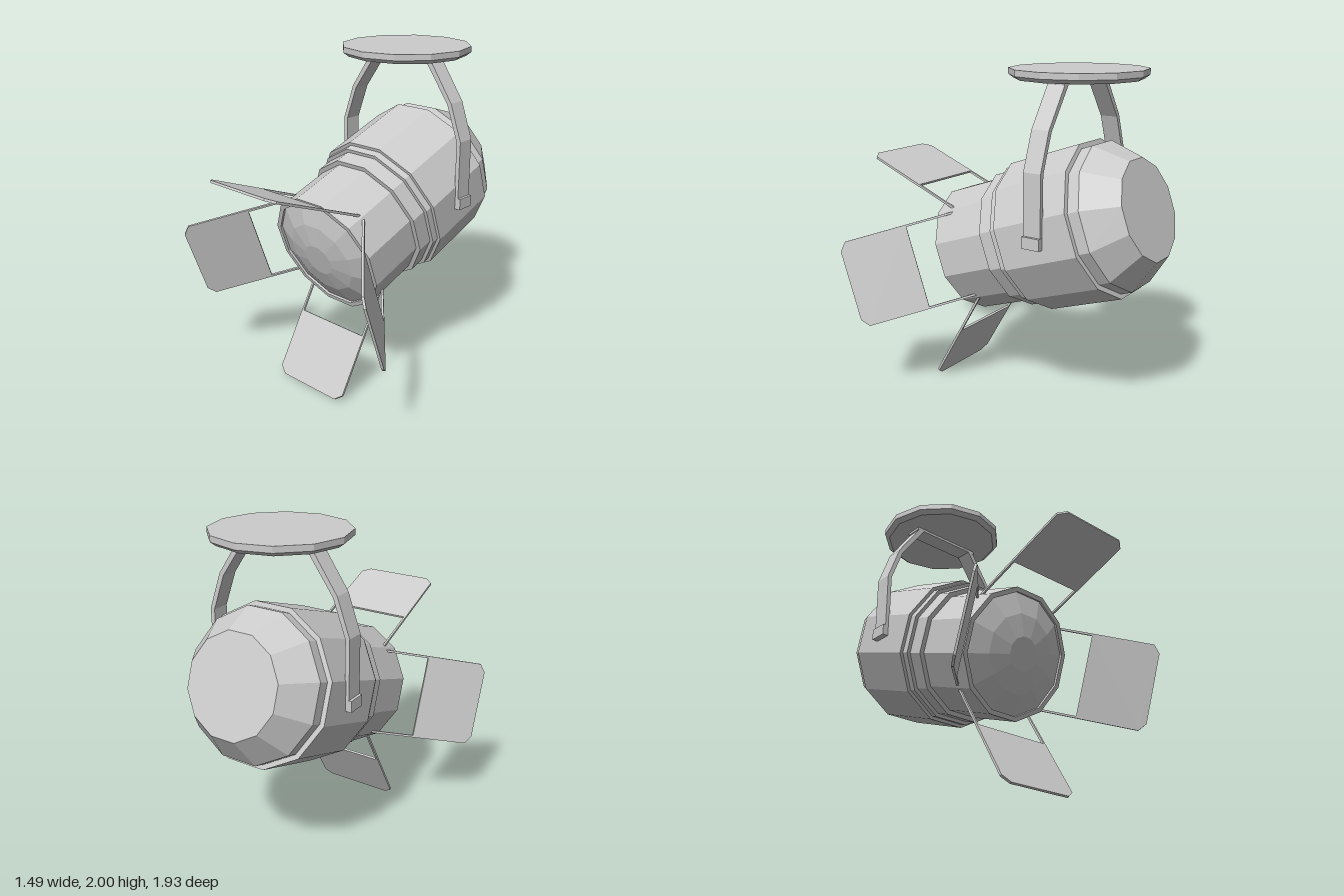
import * as THREE from 'three';

const TILT = THREE.MathUtils.degToRad(19);
const SPREAD = THREE.MathUtils.degToRad(49.5);
const SIDES = 12;

export function createModel() {
  const grey = new THREE.MeshStandardMaterial({ color: 0xcccccc });
  grey.name = 'light grey metal';

  const part = (name, geometry, parent) => {
    const flat = geometry.index ? geometry.toNonIndexed() : geometry;
    flat.computeVertexNormals();
    const mesh = new THREE.Mesh(flat, grey);
    mesh.name = name;
    parent.add(mesh);
    return mesh;
  };

  // Twelve-sided turning along z; profile is [distance to flat, z] from back to front
  const turned = (profile) => {
    const k = 1 / Math.cos(Math.PI / SIDES);
    const pts = profile.map(([r, z]) => new THREE.Vector2(r * k, z));
    return new THREE.LatheGeometry(pts, SIDES, Math.PI / SIDES).rotateX(Math.PI / 2);
  };
  const polygon = (pts) => new THREE.Shape(pts.map(([x, y]) => new THREE.Vector2(x, y)));
  const slab = (pts, depth) =>
    new THREE.ExtrudeGeometry(polygon(pts), { depth, bevelEnabled: false }).translate(0, 0, -depth / 2);

  const model = new THREE.Group();
  model.name = 'stageSpotlight';

  // Tilted lamp head, origin at the centre of the front rim
  const head = new THREE.Group();
  head.name = 'lampHead';
  head.position.set(0, 0.842, 0.325);
  head.rotation.x = TILT;
  model.add(head);

  part('housing', turned([
    [0, -1.26], [0.287, -1.26], [0.422, -1.08], [0.422, -1.01],
    [0.45, -1.01], [0.45, -0.522], [0.43, -0.522], [0.43, -0.478],
    [0.408, -0.478], [0.408, -0.378], [0.38, -0.378], [0.38, 0],
    [0.352, 0], [0.352, -0.015],
  ]), head);
  part('lens', turned([[0.352, -0.015], [0.23, 0.035], [0.1, 0.06], [0, 0.06]]), head);

  // Four barn door flaps, each a chamfered plate on two thin arms
  const plate = [
    [-0.265, 0.295], [0.265, 0.295], [0.265, 0.67],
    [0.215, 0.71], [-0.215, 0.71], [-0.265, 0.67],
  ];
  ['top', 'right', 'bottom', 'left'].forEach((side, i) => {
    const pivot = new THREE.Group();
    pivot.name = side + 'BarnDoor';
    pivot.rotation.z = i * Math.PI / 2;
    head.add(pivot);
    const door = new THREE.Group();
    door.name = side + 'Door';
    door.position.set(0, 0.28, -0.12);
    door.rotation.x = SPREAD;
    pivot.add(door);
    part('doorPlate', slab(plate, 0.014), door);
    for (const s of [-1, 1]) {
      part('doorArm', new THREE.BoxGeometry(0.013, 0.31, 0.014).translate(s * 0.2585, 0.15, 0), door);
    }
  });

  // Bent yoke strap with pivot pads
  const mount = new THREE.Group();
  mount.name = 'mount';
  mount.position.z = -0.4;
  model.add(mount);
  for (const s of [-1, 1]) {
    const strap = [
      [0.47, 1.08], [0.47, 1.48], [0.392, 1.7], [0.235, 1.93],
      [0.195, 1.93], [0.365, 1.69], [0.443, 1.475], [0.443, 1.08],
    ].map(([x, y]) => [s * x, y]);
    part('yokeArm', slab(strap, 0.11), mount);
    part('pivotPad', new THREE.BoxGeometry(0.04, 0.068, 0.112).translate(s * 0.467, 1.094, 0), mount);
  }
  part('yokeBridge', new THREE.BoxGeometry(0.49, 0.02, 0.11).translate(0, 1.935, 0), mount);

  // Ceiling disc with a chamfered underside
  const disc = [[0, 1.942], [0.365, 1.942], [0.396, 1.965], [0.396, 2], [0, 2]];
  part('ceilingDisc', new THREE.LatheGeometry(disc.map(([r, y]) => new THREE.Vector2(r, y)), SIDES), mount);

  return model;
}
